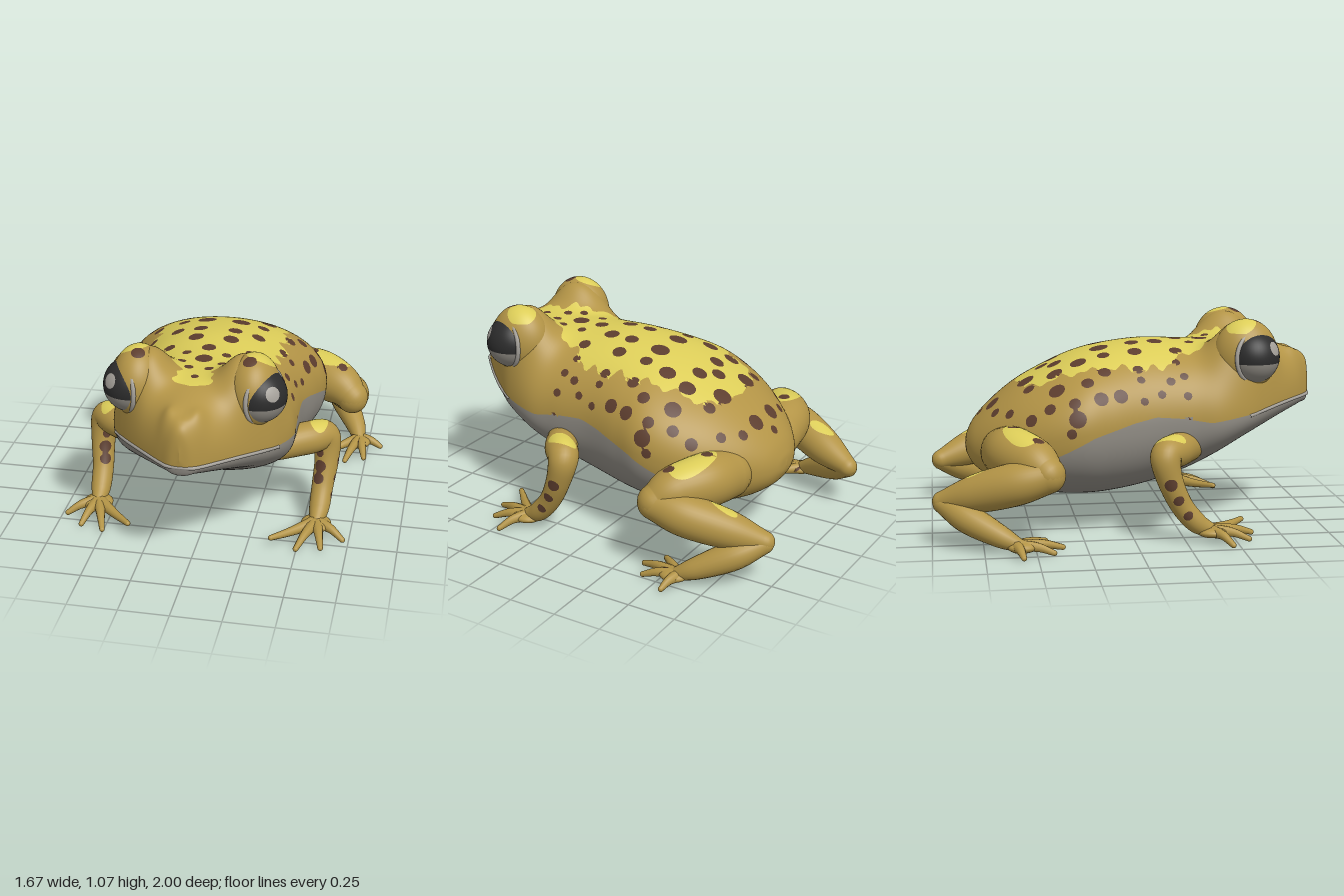
import * as THREE from 'three';

const mat = (name, color) => Object.assign(new THREE.MeshStandardMaterial({ color }), { name });
const V = (x, y, z) => new THREE.Vector3(x, y, z);
const spline = pts => new THREE.CatmullRomCurve3(pts, false, 'catmullrom', 0.5);

// Body stations: z, top, bottom, half width, height of the widest line
const BODY = [
  [.998, .73, .69, 0, .7], [.985, .825, .61, .053, .655], [.95, .867, .595, .1, .65], [.9, .885, .575, .155, .647],
  [.8, .92, .535, .255, .638], [.7, .945, .49, .34, .622], [.6, .95, .44, .405, .602], [.45, .945, .35, .455, .58],
  [.3, .945, .27, .455, .57], [.1, .95, .2, .46, .56], [-.1, .925, .165, .505, .55], [-.25, .885, .16, .535, .54],
  [-.4, .82, .17, .505, .51], [-.55, .74, .195, .425, .47], [-.68, .64, .24, .31, .44], [-.77, .545, .3, .19, .42],
  [-.81, .47, .36, .09, .41], [-.82, .42, .4, 0, .41]];

// Height of the pale belly edge and half width of the yellow back, both along z
const BELLY = [[1, .65], [.9, .647], [.8, .638], [.6, .602], [.4, .575], [.25, .6], [.12, .61], [0, .585], [-.2, .525], [-.4, .42], [-.6, .28], [-.7, .1]];
const BACK = [[.73, 0], [.7, .07], [.6, .09], [.5, .12], [.4, .2], [.25, .27], [.15, .34], [-.2, .33], [-.4, .28], [-.52, .2], [-.56, 0]];

// Spots placed from above (x, z, r) and from the side (z, y, r)
const TOP_SPOTS = [
  [0, -.74, .022], [.08, -.68, .04], [.2, -.67, .025], [.3, -.6, .025], [.125, -.51, .045], [.24, -.5, .03], [0, -.42, .035],
  [.09, -.36, .037], [.23, -.37, .04], [.22, -.25, .04], [.09, -.13, .045], [.21, -.12, .03], [.35, -.13, .03], [.09, .04, .034],
  [.21, .04, .034], [.34, .04, .025], [.09, .16, .037], [.21, .25, .03], [0, .28, .033], [0, .41, .04], [.1, .34, .022],
  [.1, .46, .022], [.05, .53, .022], [0, .63, .018], [.3, .24, .02]];
const SIDE_SPOTS = [
  [.28, .71, .02], [.27, .8, .02], [.28, .59, .017], [.2, .78, .022], [.15, .72, .02], [.06, .69, .02], [.05, .79, .02],
  [-.06, .72, .034], [-.16, .71, .034], [-.28, .62, .04], [-.29, .69, .028], [-.37, .74, .04], [-.22, .78, .03],
  [-.41, .66, .028], [-.5, .6, .03], [-.31, .55, .024]];
const LIMB_SPOTS = [[.65, .31, .16, .032], [.63, .23, .2, .03], [.62, .15, .25, .028], [.57, .3, .225, .032], [.565, .24, .25, .03],
  [.56, .37, .215, .024], [.51, .46, .27, .028], [.56, .47, .235, .022], [.69, .07, -.54, .03], [.65, .06, -.57, .025]];

function lerpTable(table, z, k = 1) {
  for (let i = 0; i < table.length - 1; i++) {
    const a = table[i], b = table[i + 1];
    if (z <= a[0] && z >= b[0]) return a[k] + (b[k] - a[k]) * (a[0] - z) / (a[0] - b[0]);
  }
  return 0;
}
const arc = q => Math.max(0, 1 - q ** 2.1) ** (1 / 2.1);
const station = z => [1, 3, 4].map(k => lerpTable(BODY, z, k));

// Spots as balls centred on the body surface: x, y, z, radius
const BODY_SPOTS = [
  ...TOP_SPOTS.map(([x, z, r]) => {
    const [top, w, mid] = station(z);
    return [x, mid + (top - mid) * arc(x / w), z, r * 1.08];
  }),
  ...SIDE_SPOTS.map(([z, y, r]) => {
    const [top, w, mid] = station(z);
    return [w * arc((y - mid) / (top - mid)), y, z, r * 1.08];
  }),
  [.27, 1.05, .65, .035]];

const inEllipse = (x, z, cx, cz, rx, rz) => ((x - cx) / rx) ** 2 + ((z - cz) / rz) ** 2 < 1;
const inSpots = (spots, x, y, z) => spots.some(s => Math.hypot(x - s[0], y - s[1], z - s[2]) < s[3]);

// Colour rules return 0 skin, 1 belly, 2 yellow, 3 brown
function bodyColour({ x, y, z }) {
  x = Math.abs(x);
  if (y < lerpTable(BELLY, z)) return 1;
  if (inSpots(BODY_SPOTS, x, y, z)) return 3;
  const edge = lerpTable(BACK, z);
  if (edge && x < edge + .018 * Math.sin(z * 40) + .012 * Math.sin(z * 83 + 1)) return 2;
  return y > 1.01 && inEllipse(x, z, .31, .57, .07, .075) ? 2 : 0;
}
function limbColour({ x, y, z }) {
  x = Math.abs(x);
  if (inSpots(LIMB_SPOTS, x, y, z)) return 3;
  if (y > .43 && (inEllipse(x, z, .42, -.59, .03, .03) || inEllipse(x, z, .6, -.48, .025, .03))) return 3;
  if (y > .45 && z < 0 && inEllipse(x, z, .5 + (z + .56) * .5, -.56, .13, .085)) return 2;
  if (y > .29 && inEllipse(x, z, .55, -.76, .035, .07)) return 2;
  return y > .47 && inEllipse(x, z, .55, .17, .045, .08) ? 2 : 0;
}

// Cuts triangles along the colour borders and makes one geometry group per colour
function paint(geo, rule) {
  const pos = geo.attributes.position, nor = geo.attributes.normal, idx = geo.index.array, bins = [[], [], [], []];
  const pts = [], normals = [], tones = [];
  for (let i = 0; i < pos.count; i++) {
    pts.push(V().fromBufferAttribute(pos, i));
    normals.push(V().fromBufferAttribute(nor, i));
    tones.push(rule(pts[i]));
  }
  const cut = (a, b) => {
    let lo = 0, hi = 1;
    for (let k = 0; k < 8; k++) {
      const m = (lo + hi) / 2;
      if (rule(pts[a].clone().lerp(pts[b], m)) === tones[a]) lo = m; else hi = m;
    }
    normals.push(normals[a].clone().lerp(normals[b], lo).normalize());
    return pts.push(pts[a].clone().lerp(pts[b], lo)) - 1;
  };
  for (let i = 0; i < idx.length; i += 3) {
    let [a, b, c] = idx.slice(i, i + 3);
    // turn the corners until the odd one out comes first
    for (let k = 0; k < 2 && tones[b] !== tones[c]; k++) [a, b, c] = [b, c, a];
    if (tones[a] === tones[b] || tones[b] !== tones[c]) { bins[tones[a]].push(a, b, c); continue; }
    const p = cut(a, b), q = cut(a, c);
    bins[tones[a]].push(a, p, q);
    bins[tones[b]].push(p, b, c, p, c, q);
  }
  const out = new THREE.BufferGeometry().setFromPoints(pts);
  out.setAttribute('normal', new THREE.Float32BufferAttribute(normals.flatMap(n => n.toArray()), 3));
  out.setIndex(bins.flat());
  let start = 0;
  bins.forEach((b, m) => { if (b.length) out.addGroup(start, b.length, m); start += b.length; });
  return out;
}

// Skins a list of closed rings of equal size
function loft(rings) {
  const n = rings[0].length, idx = [];
  for (let i = 0; i < rings.length - 1; i++) for (let j = 0; j < n; j++) {
    const a = i * n + j, b = i * n + (j + 1) % n, c = a + n, d = b + n;
    idx.push(a, c, b, b, c, d);
  }
  const geo = new THREE.BufferGeometry().setFromPoints(rings.flat());
  geo.setIndex(idx);
  geo.computeVertexNormals();
  return geo;
}

// Round-ended limb through points [x, y, z, radius]; s = -1 mirrors it
function limb(pts, s, sides = 20, steps = 30) {
  const path = spline(pts.map(p => V(p[0] * s, p[1], p[2]))), rad = spline(pts.map(p => V(p[3], 0, 0)));
  const rings = [], n = V(.31, .2, .93);
  const ring = (t, phi, dir) => {
    const c = path.getPoint(t), tan = path.getTangent(t), r = rad.getPoint(t).x;
    n.addScaledVector(tan, -n.dot(tan)).normalize();
    const b = n.clone().cross(tan);
    c.addScaledVector(tan, dir * r * Math.cos(phi));
    rings.push(Array.from({ length: sides }, (_, j) => {
      const a = j / sides * Math.PI * 2, q = r * Math.sin(phi);
      return c.clone().addScaledVector(n, q * Math.cos(a)).addScaledVector(b, q * Math.sin(a));
    }));
  };
  for (let k = 0; k < 6; k++) ring(0, k / 6 * Math.PI / 2, -1);
  for (let k = 0; k <= steps; k++) ring(k / steps, Math.PI / 2, 0);
  for (let k = 5; k >= 0; k--) ring(1, k / 6 * Math.PI / 2, 1);
  return loft(rings);
}

function bodyGeometry() {
  const A = spline(BODY.map(s => V(s[0], s[1], s[2]))), B = spline(BODY.map(s => V(s[3], s[4], 0)));
  const N = 153, M = 140, rings = [];
  const pow = (v, n) => Math.sign(v) * Math.abs(v) ** (2 / n);
  for (let i = 0; i <= N; i++) {
    const { x: z, y: top, z: bottom } = A.getPoint(i / N), { x: w, y: mid } = B.getPoint(i / N);
    rings.push(Array.from({ length: M }, (_, j) => {
      const a = j / M * Math.PI * 2, sn = Math.sin(a), n = sn > 0 ? 2.1 : 2.3;
      const x = Math.max(w, 0) * pow(Math.cos(a), n), ax = Math.abs(x);
      let y = mid + (sn > 0 ? top - mid : mid - bottom) * pow(sn, n);
      // brow mounds and nostril swellings
      const brow = Math.hypot((ax - .28) / .15, (z - .6) / .175), nostril = Math.hypot((ax - .075) / .04, (z - .9) / .05);
      y += (.17 * Math.exp(-(brow ** 3)) + .025 * Math.exp(-(nostril ** 2))) * THREE.MathUtils.smoothstep(sn, 0, .7);
      return V(x, y, z);
    }));
  }
  return loft(rings);
}

export function createModel() {
  const model = new THREE.Group();
  model.name = 'frog';
  const skin = mat('ochre skin', 0xb39446), belly = mat('grey belly', 0x8f8b83), yellow = mat('yellow patch', 0xdccd58);
  const brown = mat('brown spot', 0x5c3d2e), dark = mat('dark eye', 0x2c2c2c), pale = mat('pale rim', 0xa5a19a);
  const coat = [skin, belly, yellow, brown];
  const add = (name, geo, material) => {
    const m = new THREE.Mesh(geo, material);
    m.name = name;
    model.add(m);
    return m;
  };
  const ellipsoid = (c, r, w = 20, h = 14) => new THREE.SphereGeometry(1, w, h).scale(...r).translate(...c);

  add('body', paint(bodyGeometry(), bodyColour), coat);

  // Lip along the mouth line
  const half = BODY.slice(1, 7);
  const lipPath = [...half.map(s => V(-s[3], s[4] - .006, s[0])).reverse(), ...half.map(s => V(s[3], s[4] - .006, s[0]))];
  add('lip', new THREE.TubeGeometry(spline(lipPath), 80, .009, 8), pale);

  for (const s of [1, -1]) {
    const side = s > 0 ? 'left ' : 'right ';

    // Eye: lid, ball with dark upper half and glint, pale rim
    add(side + 'eyelid', paint(ellipsoid([s * .28, .89, .6], [.132, .185, .165], 48, 36), bodyColour), coat);
    const glint = V(s * .6, .38, .7).normalize(), centre = V(s * .312, .885, .633);
    const ball = paint(new THREE.SphereGeometry(.135, 48, 36), p =>
      p.clone().normalize().angleTo(glint) < .28 ? 2 : p.y < -.025 ? 1 : 0);
    add(side + 'eyeball', ball, [dark, belly, pale]).position.copy(centre);
    const rim = add(side + 'eye rim', new THREE.TorusGeometry(.133, .012, 8, 48), pale);
    const out = V(s * .85, .02, .5).normalize();
    rim.quaternion.setFromUnitVectors(V(0, 0, 1), out);
    rim.position.copy(centre).addScaledVector(out, .028);

    // Front leg
    add(side + 'arm', paint(limb([[.36, .44, .29, .08], [.5, .45, .21, .085], [.58, .435, .145, .078], [.595, .32, .165, .064],
      [.585, .19, .225, .056], [.58, .1, .3, .052], [.575, .06, .37, .036]], s, 30, 60), limbColour), coat);
    add(side + 'palm', ellipsoid([s * .575, .052, .38], [.078, .03, .08]), skin);
    for (const [x, y, z] of [[.37, .055, .57], [.5, .02, .595], [.62, .018, .56], [.72, .016, .46]])
      add(side + 'finger', limb([[.575, .055, .37, .036], [.575 + (x - .575) * .55, .05, .37 + (z - .37) * .55, .023],
        [x, y, z, .014]], s, 10, 12), skin);

    // Hind leg folded at knee and heel
    add(side + 'thigh', paint(limb([[.28, .42, -.62, .13], [.44, .44, -.59, .135], [.58, .425, -.5, .118], [.66, .385, -.44, .085]],
      s, 36, 40), limbColour), coat);
    add(side + 'shin', paint(limb([[.66, .375, -.44, .085], [.63, .335, -.59, .105], [.55, .275, -.78, .095], [.485, .225, -.945, .052]],
      s, 36, 40), limbColour), coat);
    add(side + 'hind foot', paint(limb([[.49, .215, -.945, .05], [.58, .16, -.83, .072], [.665, .09, -.68, .056], [.7, .045, -.58, .032]],
      s), limbColour), coat);
    add(side + 'sole', paint(ellipsoid([s * .7, .042, -.57], [.065, .03, .075]), limbColour), coat);
    for (const [x, y, z] of [[.56, .03, -.45], [.64, .016, -.37], [.74, .016, -.42], [.82, .018, -.57]])
      add(side + 'toe', limb([[.7, .045, -.6, .034], [.7 + (x - .7) * .55, .043, -.6 + (z + .6) * .55, .023],
        [x, y, z, .014]], s, 10, 12), skin);
  }
  return model;
}
